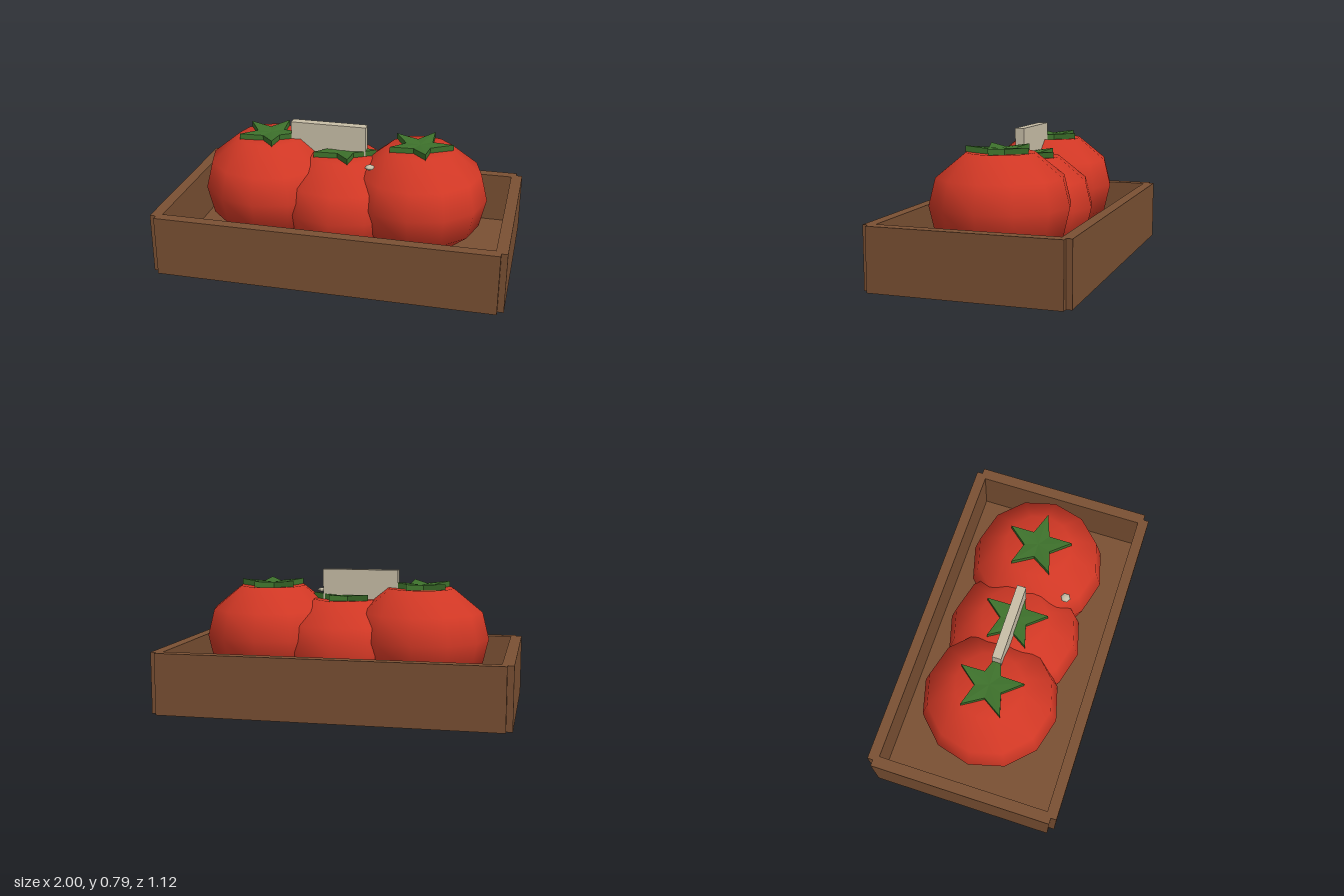
import * as THREE from 'three';

const mat = (name, color, extra = {}) => {
  const m = new THREE.MeshStandardMaterial({ color, ...extra });
  m.name = name;
  return m;
};

// Five-pointed leaf star: tips raised, notches and centre slightly lower
function calyxGeometry(tipRadius, notchRadius, thickness) {
  const ring = [];
  for (let i = 0; i < 10; i++) {
    const a = (i * Math.PI) / 5;
    const tip = i % 2 === 0;
    const r = tip ? tipRadius : notchRadius;
    ring.push([Math.cos(a) * r, tip ? 0 : -0.012, -Math.sin(a) * r]);
  }
  const low = ([x, y, z]) => [x, y - thickness, z];
  const centre = [0, -0.014, 0];
  const pos = [];
  const tri = (a, b, c) => pos.push(...a, ...b, ...c);
  ring.forEach((a, i) => {
    const b = ring[(i + 1) % 10];
    tri(centre, a, b);
    tri(low(centre), low(b), low(a));
    tri(low(a), low(b), b);
    tri(low(a), b, a);
  });
  const g = new THREE.BufferGeometry();
  g.setAttribute('position', new THREE.Float32BufferAttribute(pos, 3));
  g.computeVertexNormals();
  return g;
}

export function createModel() {
  const wood = mat('crate wood', 0x7a5033);
  const red = mat('tomato red', 0xd23825);
  const green = mat('leaf green', 0x3e722c);
  const card = mat('card beige', 0xc9bfa8);

  const model = new THREE.Group();
  model.name = 'tomatoCrate';
  const add = (parent, name, geometry, material, x, y, z) => {
    const mesh = new THREE.Mesh(geometry, material);
    mesh.name = name;
    mesh.position.set(x, y, z);
    parent.add(mesh);
    return mesh;
  };

  // Crate: floor and four walls with stepped corners
  const crate = new THREE.Group();
  crate.name = 'crate';
  model.add(crate);
  const H = 0.35;
  add(crate, 'crateFloor', new THREE.BoxGeometry(1.9, 0.05, 1.03), wood, 0, 0.026, 0);
  for (const s of [1, -1]) {
    add(crate, s > 0 ? 'frontWall' : 'backWall',
      new THREE.BoxGeometry(1.93, H, 0.062), wood, 0, H / 2, s * 0.529);
    add(crate, s > 0 ? 'leftWall' : 'rightWall',
      new THREE.BoxGeometry(0.065, H, 1.055), wood, s * 0.9675, H / 2, 0);
  }

  // Tomatoes: squashed twelve-sided lathe with a dimpled top
  const profile = [
    [0, 0.07], [0.19, 0.1], [0.355, 0.24], [0.393, 0.405],
    [0.355, 0.557], [0.19, 0.69], [0, 0.675],
  ].map(([r, y]) => new THREE.Vector2(r, y));
  const body = new THREE.LatheGeometry(profile, 12);
  const calyx = calyxGeometry(0.19, 0.08, 0.045);
  [[-0.44, 0], [0, -0.07], [0.44, 0]].forEach(([x, y], i) => {
    const tomato = new THREE.Group();
    tomato.name = ['rightTomato', 'middleTomato', 'leftTomato'][i];
    tomato.position.set(x, y, 0);
    model.add(tomato);
    add(tomato, 'tomatoBody', body, red, 0, 0, 0);
    add(tomato, 'calyx', calyx, green, 0, 0.723, 0);
  });

  // Upright card standing between the tomatoes
  add(model, 'priceCard', new THREE.BoxGeometry(0.44, 0.79, 0.052), card, -0.09, 0.395, 0);

  // Small flattened bead
  const bead = add(model, 'bead', new THREE.SphereGeometry(0.029, 6, 4), card, 0.2, 0.643, 0.24);
  bead.scale.y = 0.45;
  bead.rotation.y = Math.PI / 6;

  return model;
}
